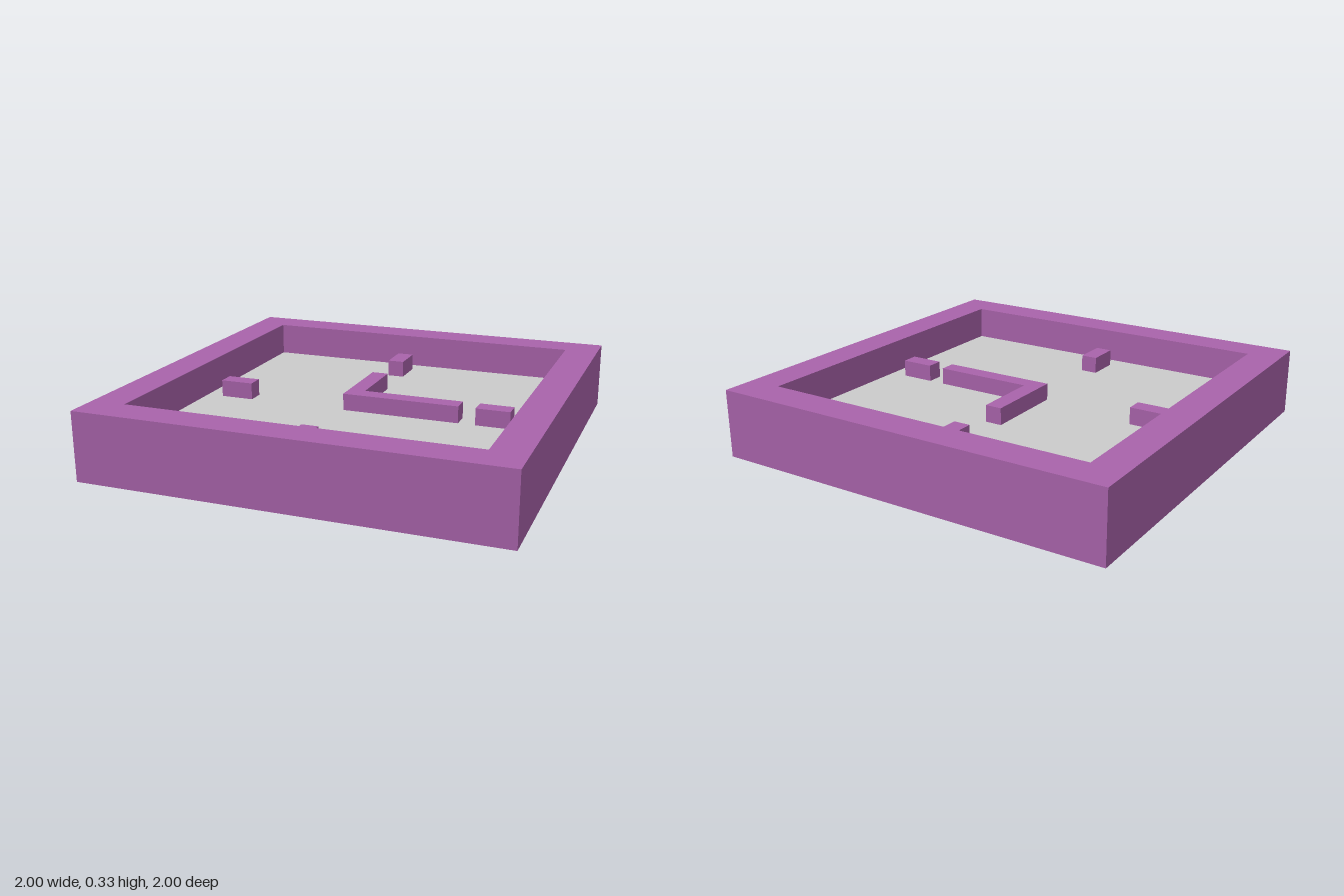
import * as THREE from 'three';

const U = 1 / 12; // grid unit: the tray is 24 units wide

export function createModel() {
  const group = new THREE.Group();
  const purple = new THREE.MeshStandardMaterial({ color: 0xa963ab });
  const grey = new THREE.MeshStandardMaterial({ color: 0xcccccc });

  // Extrude a plan outline (x, z in grid units) from height y0 to y1
  function slab(name, outline, y0, y1, material, hole) {
    const toPoints = (pts) => pts.map(([x, z]) => new THREE.Vector2(x * U, -z * U));
    const shape = new THREE.Shape(toPoints(outline));
    if (hole) shape.holes.push(new THREE.Path(toPoints(hole)));
    const geometry = new THREE.ExtrudeGeometry(shape, { depth: (y1 - y0) * U, bevelEnabled: false });
    geometry.rotateX(-Math.PI / 2);
    geometry.translate(0, y0 * U, 0);
    const mesh = new THREE.Mesh(geometry, material);
    mesh.name = name;
    group.add(mesh);
  }
  const rect = (x0, z0, x1, z1) => [[x0, z0], [x0, z1], [x1, z1], [x1, z0]];

  // Square rim and the floor inside it
  slab('frame', rect(-12, -12, 12, 12), 0, 4, purple, rect(-10, -10, 10, 10));
  slab('floor', rect(-10, -10, 10, 10), 0, 2, grey);

  // Hour marks
  slab('backMark', rect(-1, -9, 0, -7), 2, 3, purple);
  slab('frontMark', rect(-1, 7, 0, 9), 2, 3, purple);
  slab('rightMark', rect(-9, 0, -7, 1), 2, 3, purple);
  slab('leftMark', rect(7, 0, 9, 1), 2, 3, purple);

  // Hands joined in an L
  slab('hands', [[-1, -4], [-1, 1], [6, 1], [6, 0], [0, 0], [0, -4]], 2, 3, purple);

  return group;
}
